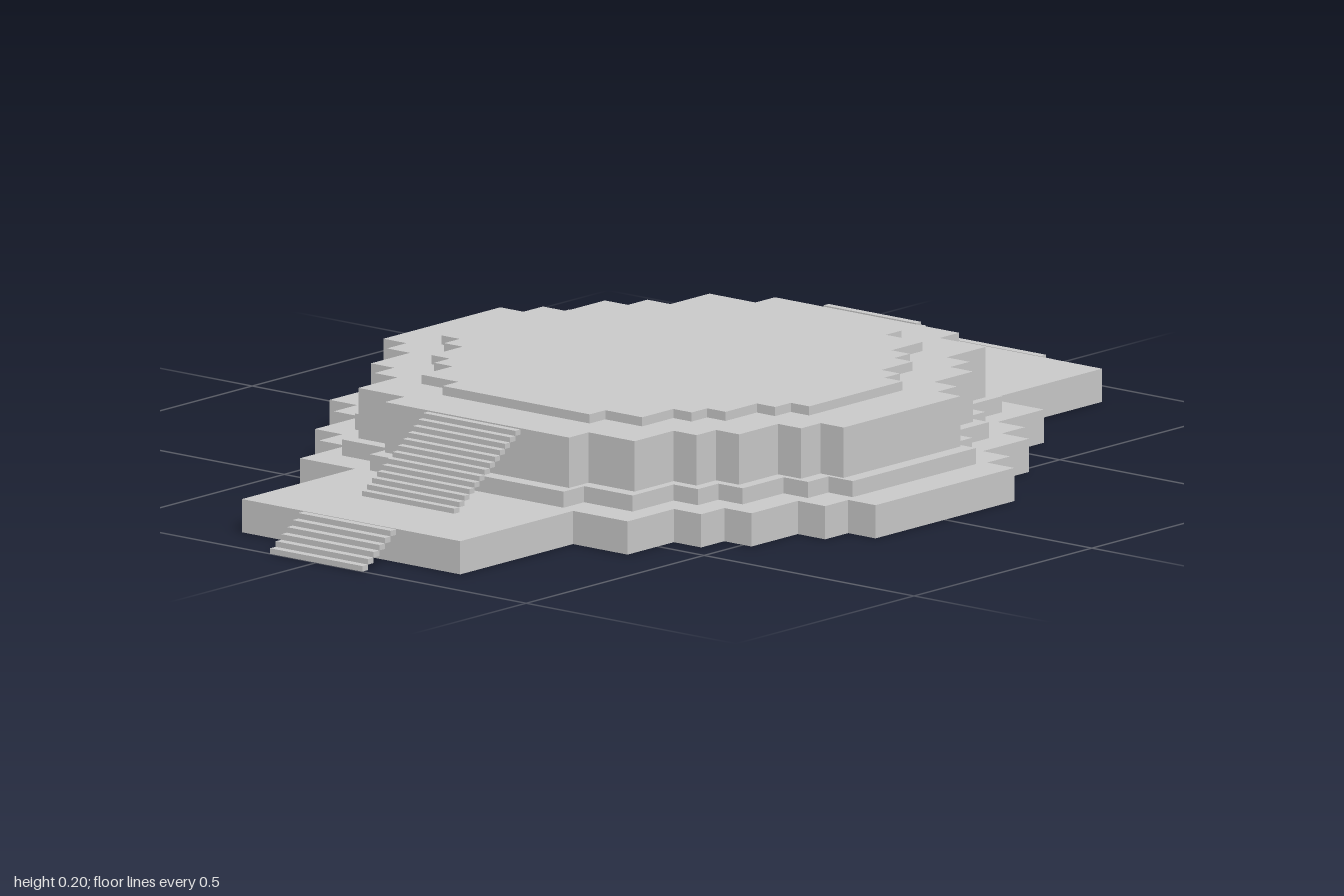
import * as THREE from 'three';

const material = new THREE.MeshStandardMaterial({ color: 0xcccccc, flatShading: true });

// Outer corners [x, z] of one quadrant, in tenths of the tier radius
const STEPS = [[10, 3], [9, 4], [8, 6], [7, 7], [6, 9], [4, 10]];

// Stepped round slab; the last corner can be stretched into a long terrace
function tier(name, radius, y0, y1, lastZ = radius) {
  const corners = STEPS.map(([x, z]) => [x * radius / 10, z * radius / 10]);
  corners[corners.length - 1][1] = lastZ;
  const quadrant = [];
  corners.forEach(([x, z], i) => {
    if (i > 0) quadrant.push([x, corners[i - 1][1]]);
    quadrant.push([x, z]);
  });
  const mirrored = [...quadrant].reverse();
  const outline = [
    ...quadrant,
    ...mirrored.map(([x, z]) => [-x, z]),
    ...quadrant.map(([x, z]) => [-x, -z]),
    ...mirrored.map(([x, z]) => [x, -z]),
  ].map(([x, z]) => new THREE.Vector2(x, z));
  const geometry = new THREE.ExtrudeGeometry(new THREE.Shape(outline), { depth: y1 - y0, bevelEnabled: false });
  geometry.rotateX(-Math.PI / 2).translate(0, y0, 0);
  const mesh = new THREE.Mesh(geometry, material);
  mesh.name = name;
  return mesh;
}

// Open flight of thin treads descending toward +z
function stairs(name, count, zTop, zBottom, yTop, yBottom) {
  const flight = new THREE.Group();
  flight.name = name;
  const rise = (yTop - yBottom) / count;
  const run = (zBottom - zTop) / count;
  const geometry = new THREE.BoxGeometry(0.22, rise, run);
  for (let i = 0; i < count; i++) {
    const tread = new THREE.Mesh(geometry, material);
    tread.name = 'tread';
    tread.position.set(0, yTop - (i + 0.5) * rise, zTop + (i + 0.5) * run);
    flight.add(tread);
  }
  return flight;
}

export function createModel() {
  const model = new THREE.Group();
  model.name = 'steppedPlatform';

  // Stacked tiers
  model.add(
    tier('baseTerrace', 0.65, 0, 0.062, 0.902),
    tier('plinth', 0.577, 0.062, 0.092),
    tier('mainTier', 0.548, 0.092, 0.186),
    tier('topSlab', 0.438, 0.186, 0.203),
  );

  // Matching stairs at front and back
  for (const side of ['front', 'back']) {
    const entrance = new THREE.Group();
    entrance.name = side + 'Stairs';
    entrance.add(
      stairs('lowerStairs', 6, 0.905, 1, 0.062, 0),
      stairs('upperStairs', 13, 0.556, 0.742, 0.186, 0.062),
    );
    if (side === 'back') entrance.rotation.y = Math.PI;
    model.add(entrance);
  }
  return model;
}
